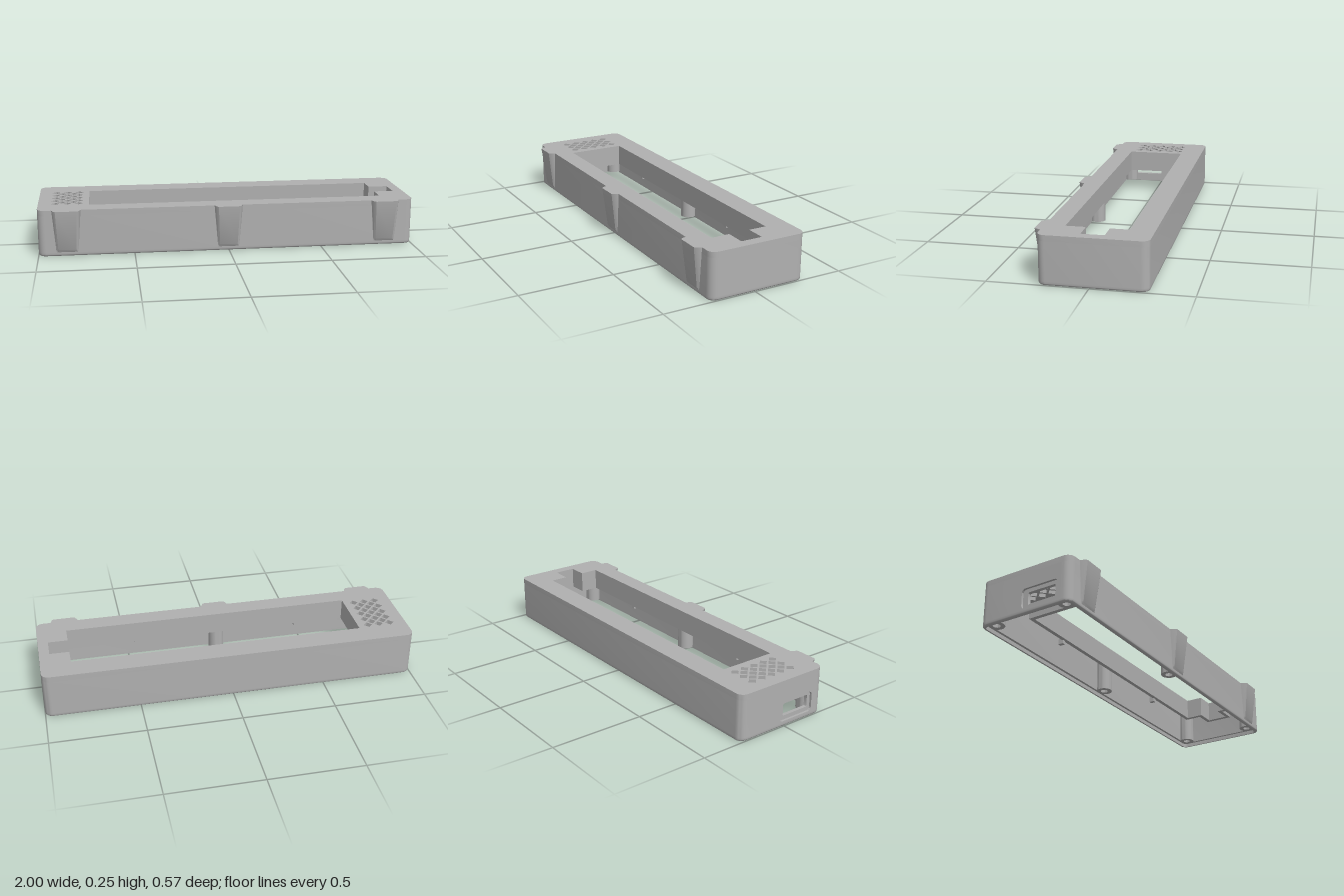
import * as THREE from 'three';
import { toCreasedNormals } from 'three/addons/utils/BufferGeometryUtils.js';

const TOP = 0.247, WALL = 0.03, ZB = -0.283, ZF = 0.25, ZC = (ZB + ZF) / 2, R = 0.04, STEP = 0.02;

// Rounded rectangle outline in (x, z), inset from the outer wall
function outline(inset, seg = 6) {
  const r = Math.max(R - inset, 0.008), x = 1 - inset - r, z = (ZF - ZB) / 2 - inset - r, pts = [];
  [[x, z, 0], [-x, z, 1], [-x, -z, 2], [x, -z, 3]].forEach(([cx, cz, q]) => {
    for (let i = 0; i <= seg; i++) {
      const a = (q + i / seg) * Math.PI / 2;
      pts.push(new THREE.Vector2(cx + r * Math.cos(a), ZC + cz + r * Math.sin(a)));
    }
  });
  return pts;
}

const crease = (g) => toCreasedNormals(g, 0.6);
const toPath = (pts) => pts.map(([x, z]) => new THREE.Vector2(x, z));

// Extrude an (x, z) shape downward from yTop
function slab(shape, yTop, height) {
  const g = new THREE.ExtrudeGeometry(shape, { depth: height, bevelEnabled: false, curveSegments: 16 });
  return crease(g.rotateX(Math.PI / 2).translate(0, yTop, 0));
}

// Join loops of [x, y, z] points that all have the same length
function loft(loops, closeEnds = false) {
  const n = loops[0].length, pos = loops.flat(2), idx = [];
  for (let s = 0; s < loops.length - 1; s++) for (let i = 0; i < n; i++) {
    const a = s * n + i, b = s * n + (i + 1) % n;
    idx.push(a, a + n, b, b, a + n, b + n);
  }
  if (closeEnds) for (let i = 1; i < n - 1; i++) {
    const e = (loops.length - 1) * n;
    idx.push(0, i, i + 1, e, e + i + 1, e + i);
  }
  const g = new THREE.BufferGeometry();
  g.setAttribute('position', new THREE.Float32BufferAttribute(pos, 3));
  g.setIndex(idx);
  return crease(g);
}

// Window outline with a notch at the left end, grown by d
const windowOutline = (d) => toPath([
  [-0.73 - d, -0.16 - d], [0.84 + d, -0.16 - d], [0.84 + d, -0.065 - d], [0.945 + d, -0.065 - d],
  [0.945 + d, 0.05 + d], [0.84 + d, 0.05 + d], [0.84 + d, 0.15 + d], [-0.73 - d, 0.15 + d]]);

// Rounded rectangle path by limits
function roundRect(Type, x0, y0, x1, y1, r) {
  const p = new Type();
  p.moveTo(x0 + r, y0);
  p.lineTo(x1 - r, y0); p.absarc(x1 - r, y0 + r, r, -Math.PI / 2, 0);
  p.lineTo(x1, y1 - r); p.absarc(x1 - r, y1 - r, r, 0, Math.PI / 2);
  p.lineTo(x0 + r, y1); p.absarc(x0 + r, y1 - r, r, Math.PI / 2, Math.PI);
  p.lineTo(x0, y0 + r); p.absarc(x0 + r, y0 + r, r, Math.PI, Math.PI * 1.5);
  return p;
}

export function createModel() {
  const model = new THREE.Group();
  const plastic = new THREE.MeshStandardMaterial({ color: 0xb0b0b0, side: THREE.DoubleSide });
  plastic.name = 'grey plastic';
  const add = (name, geometry, x = 0, y = 0, z = 0) => {
    const m = new THREE.Mesh(geometry, plastic);
    m.name = name;
    m.position.set(x, y, z);
    model.add(m);
    return m;
  };

  // Top plate with window and diamond grille
  const plate = new THREE.Shape(outline(0));
  plate.holes.push(new THREE.Path(windowOutline(0)));
  const pitch = 0.0615, d = 0.024;
  for (let row = 0; row < 9; row++) {
    const odd = row % 2;
    for (let c = 0; c < 3 - odd; c++) {
      const x = -0.91 + (c + odd / 2) * pitch, z = -0.136 + row * pitch / 2;
      plate.holes.push(new THREE.Path(toPath([[x - d, z], [x, z - d], [x + d, z], [x, z + d]])));
    }
  }
  add('topPlate', slab(plate, TOP, WALL));

  // Collar hanging below the window
  const collar = new THREE.Shape(windowOutline(0.022));
  collar.holes.push(new THREE.Path(windowOutline(0)));
  add('windowCollar', slab(collar, TOP - WALL, 0.087));

  // Side walls, left open at the right end for the port panel
  const z0 = -0.06, z1 = 0.2;
  const half = outline(0).length / 2;
  const around = (inset) => {
    const p = outline(inset);
    const x = -1 + inset;
    return [new THREE.Vector2(x, z0), ...p.slice(half), ...p.slice(0, half), new THREE.Vector2(x, z1)];
  };
  const walls = new THREE.Shape([...around(0), ...around(WALL).reverse()]);
  add('sideWalls', slab(walls, TOP - WALL, TOP - WALL - STEP));

  // Port panel: an outer layer with a recess and an inner layer with the opening
  const portLayer = (name, x, depth, hole) => {
    const s = new THREE.Shape(toPath([[z0, STEP], [z1, STEP], [z1, TOP - WALL], [z0, TOP - WALL]]));
    s.holes.push(hole);
    const g = new THREE.ExtrudeGeometry(s, { depth, bevelEnabled: false, curveSegments: 6 });
    add(name, crease(g.rotateY(-Math.PI / 2)), x);
  };
  portLayer('portRecess', -0.988, 0.012, roundRect(THREE.Path, -0.03, 0.028, 0.18, 0.135, 0.02));
  portLayer('portOpening', -0.97, 0.018, roundRect(THREE.Path, 0.0, 0.05, 0.16, 0.115, 0.006));

  // Bottom rim with a rounded outer edge and a thin lip
  const rim = [[0.016, STEP], [0.016, 0], [0.01, 0], [0.005, 0.0015], [0.0015, 0.005], [0, 0.01], [0, STEP]];
  add('bottomRim', loft(rim.map(([i, y]) => outline(i).map((p) => [p.x, y, p.y]))));

  // Tapered grips on the front
  const grip = (y, z, inner, outer) => {
    const m = Math.max(z - 0.006, 0.25);
    return [[-inner, y, 0.24], [-inner, y, 0.25], [-outer - 0.004, y, m], [-outer + 0.004, y, z],
      [outer - 0.004, y, z], [outer + 0.004, y, m], [inner, y, 0.25], [inner, y, 0.24]];
  };
  const gripGeometry = loft([
    grip(0.022, 0.25, 0.054, 0.05), grip(0.036, 0.258, 0.058, 0.051), grip(TOP, 0.283, 0.075, 0.06)], true);
  [-0.85, -0.003, 0.844].forEach((x) => add('frontGrip', gripGeometry, x));

  // Screw bosses in the corners and at mid length
  const ring = new THREE.Shape().absarc(0, 0, 0.042, 0, Math.PI * 2);
  ring.holes.push(new THREE.Path().absarc(0, 0, 0.02, 0, Math.PI * 2, true));
  const bossGeometry = slab(ring, TOP - WALL, TOP - WALL - STEP);
  for (const x of [-0.94, 0, 0.94]) for (const side of [-1, 1]) {
    add('screwBoss', bossGeometry, x, 0, ZC + side * 0.21);
  }

  // Small pegs under the collar
  const peg = new THREE.BoxGeometry(0.02, 0.03, 0.03);
  for (const x of [-0.46, 0.46]) for (const z of [-0.19, 0.175]) add('collarPeg', peg, x, 0.125, z);

  return model;
}
